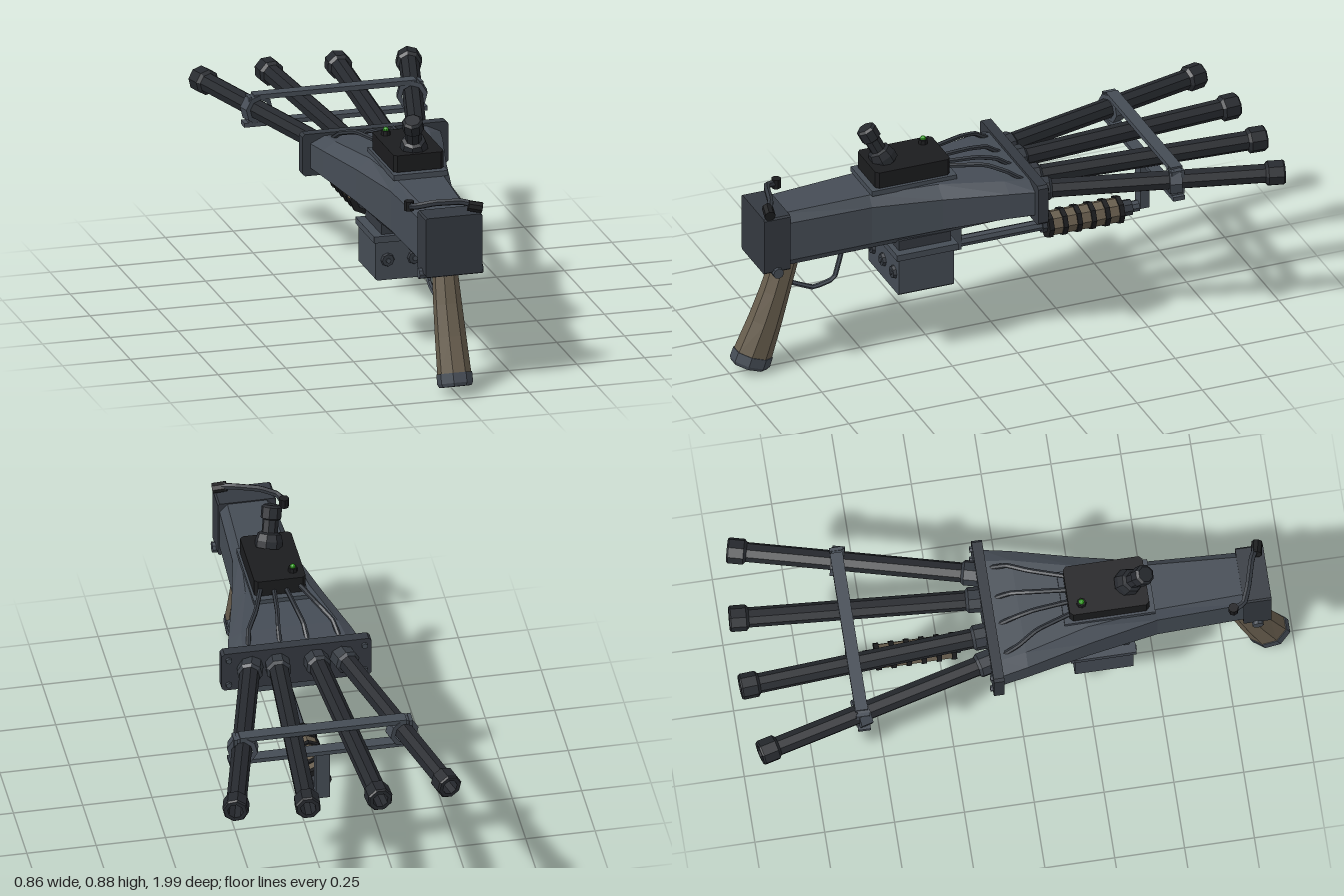
import * as THREE from 'three';

const V = (x, y, z) => new THREE.Vector3(x, y, z);
const material = (color, side = THREE.FrontSide) =>
  new THREE.MeshStandardMaterial({ color, side, flatShading: true });

// Faceted skin through rings of points, closed at both ends.
// Rings run counter-clockwise about the direction of travel.
function loft(rings) {
  const pos = [];
  const tri = (...pts) => pts.forEach((p) => pos.push(p.x, p.y, p.z));
  const n = rings[0].length;
  for (let r = 0; r < rings.length - 1; r++) {
    for (let i = 0; i < n; i++) {
      const j = (i + 1) % n, a = rings[r], b = rings[r + 1];
      tri(a[i], a[j], b[j]);
      tri(a[i], b[j], b[i]);
    }
  }
  const first = rings[0], last = rings[rings.length - 1];
  for (let i = 1; i < n - 1; i++) {
    tri(first[0], first[i + 1], first[i]);
    tri(last[0], last[i], last[i + 1]);
  }
  const geo = new THREE.BufferGeometry();
  geo.setAttribute('position', new THREE.Float32BufferAttribute(pos, 3));
  geo.computeVertexNormals();
  return geo;
}

// Box with chamfered corners in xy, extruded along z and centred.
function chamferBox(w, h, d, c) {
  const x = w / 2, y = h / 2;
  const shape = new THREE.Shape([
    [-x + c, -y], [x - c, -y], [x, -y + c], [x, y - c],
    [x - c, y], [-x + c, y], [-x, y - c], [-x, -y + c],
  ].map(([a, b]) => new THREE.Vector2(a, b)));
  return new THREE.ExtrudeGeometry(shape, { depth: d, bevelEnabled: false }).translate(0, 0, -d / 2);
}

const lathe = (profile, sides = 8) => new THREE.LatheGeometry(
  profile.map(([r, y]) => new THREE.Vector2(r, y)), sides, Math.PI / sides);

export function createModel() {
  const group = new THREE.Group();
  const steel = material(0x454c55), darkSteel = material(0x343940), gunmetal = material(0x26292e);
  const black = material(0x1b1c1e), wood = material(0x675d4d), green = material(0x2f9a1e);

  const add = (name, geo, mat, x = 0, y = 0, z = 0) => {
    const mesh = new THREE.Mesh(geo, mat);
    mesh.name = name;
    mesh.position.set(x, y, z);
    group.add(mesh);
    return mesh;
  };
  const box = (name, mat, [x0, x1], [y0, y1], [z0, z1]) => add(name,
    new THREE.BoxGeometry(x1 - x0, y1 - y0, z1 - z0), mat, (x0 + x1) / 2, (y0 + y1) / 2, (z0 + z1) / 2);
  const along = (mesh, dir) => mesh.quaternion.setFromUnitVectors(V(0, 1, 0), dir.clone().normalize());
  // Piping with straight segments
  const pipe = (name, mat, r, pts) => {
    const path = new THREE.CurvePath();
    for (let i = 0; i < pts.length - 1; i++) path.add(new THREE.LineCurve3(pts[i], pts[i + 1]));
    const curve = new THREE.CatmullRomCurve3(pts, false, 'catmullrom', 0.15);
    return add(name, new THREE.TubeGeometry(curve, (pts.length - 1) * 4, r, 6), mat);
  };

  // Receiver: octagonal sections widening toward the barrels
  // z, top half width, top y, side half width, upper y, lower y, bottom half width, bottom y
  add('receiver', loft([
    [-0.08, 0.19, 0.655, 0.242, 0.63, 0.54, 0.2, 0.515],
    [0.02, 0.175, 0.662, 0.222, 0.632, 0.535, 0.16, 0.5],
    [0.25, 0.115, 0.668, 0.165, 0.63, 0.51, 0.105, 0.462],
    [0.5, 0.085, 0.662, 0.112, 0.625, 0.48, 0.08, 0.445],
    [0.83, 0.07, 0.65, 0.098, 0.62, 0.47, 0.07, 0.437],
  ].map(([z, tw, ty, w, uy, ly, bw, by]) => [
    V(-bw, by, z), V(bw, by, z), V(w, ly, z), V(w, uy, z),
    V(tw, ty, z), V(-tw, ty, z), V(-w, uy, z), V(-w, ly, z),
  ])), steel);

  // Rear block and cross pin
  add('rearBlock', chamferBox(0.21, 0.22, 0.1, 0.006), darkSteel, 0, 0.545, 0.86);
  add('crossPin', new THREE.CylinderGeometry(0.02, 0.02, 0.235, 8), steel, 0, 0.436, 0.86).rotation.z = Math.PI / 2;

  // Latch lever across the rear block
  pipe('latchLever', darkSteel, 0.012, [
    V(0.09, 0.68, 0.885), V(0.04, 0.69, 0.86), V(-0.05, 0.685, 0.835), V(-0.11, 0.67, 0.81), V(-0.125, 0.66, 0.77)]);
  along(add('latchKnob', new THREE.CylinderGeometry(0.02, 0.02, 0.05, 8), black, 0.085, 0.675, 0.885), V(1, -0.2, 0.2));
  add('latchTip', new THREE.CylinderGeometry(0.018, 0.018, 0.035, 8), black, -0.125, 0.662, 0.77);

  // Pistol grip: octagonal, leaning backward, with an end cap
  const axis = V(0, -0.94, 0.34).normalize(), across = V(0, -axis.z * -1, -axis.y);
  const gripRing = ([y, z, hw, hd]) => Array.from({ length: 8 }, (_, i) => {
    const a = (i + 0.5) * Math.PI / 4, k = 1 / Math.cos(Math.PI / 8);
    return V(Math.cos(a) * hw * k, y, z).addScaledVector(across, Math.sin(a) * hd * k);
  });
  add('grip', loft([
    [0.43, 0.788, 0.041, 0.047], [0.3, 0.828, 0.047, 0.051], [0.19, 0.865, 0.051, 0.058], [0.07, 0.91, 0.055, 0.067],
  ].map(gripRing)), wood);
  add('gripCap', loft([
    [0.07, 0.91, 0.058, 0.07], [0.036, 0.922, 0.058, 0.071], [0.024, 0.926, 0.052, 0.064],
  ].map(gripRing)), steel);

  // Trigger guard
  pipe('triggerGuard', steel, 0.009, [
    V(0, 0.325, 0.77), V(0, 0.285, 0.68), V(0, 0.305, 0.6), V(0, 0.405, 0.572)]);

  // Ammunition box with lid, neck and three round studs
  add('ammoBox', chamferBox(0.284, 0.15, 0.21, 0.006), steel, 0, 0.34, 0.305);
  box('ammoLid', steel, [-0.15, 0.15], [0.408, 0.432], [0.185, 0.42]);
  box('ammoNeck', darkSteel, [-0.117, 0.117], [0.43, 0.47], [0.2, 0.4]);
  for (const x of [-0.098, 0, 0.098]) {
    add('ammoStud', new THREE.CylinderGeometry(0.022, 0.027, 0.016, 8), darkSteel, x, 0.34, 0.413).rotation.x = Math.PI / 2;
    add('ammoStudCentre', new THREE.CylinderGeometry(0.009, 0.009, 0.01, 8), steel, x, 0.34, 0.422).rotation.x = Math.PI / 2;
  }

  // Barrel flange with bolts
  add('barrelFlange', chamferBox(0.54, 0.156, 0.038, 0.01), darkSteel, 0, 0.588, -0.09);
  for (const x of [-0.245, 0.245]) for (const y of [0.535, 0.64])
    add('flangeBolt', new THREE.CylinderGeometry(0.011, 0.011, 0.012, 6), steel, x, y, -0.113).rotation.x = Math.PI / 2;

  // Four fanned barrels with collars and hollow muzzles
  for (const s of [-1, 1]) for (const [x0, x1, z1] of [[0.068, 0.13, -0.997], [0.162, 0.387, -0.965]]) {
    const start = V(s * x0, 0.6, -0.09), dir = V(s * x1, 0.6, z1).sub(start), L = dir.length();
    along(add('barrel', lathe([
      [0, 0], [0.036, 0], [0.036, L - 0.07], [0.047, L - 0.06], [0.047, L - 0.006],
      [0.042, L], [0.028, L], [0.028, L - 0.08], [0, L - 0.08],
    ]), gunmetal, ...start.toArray()), dir);
    along(add('barrelCollar', lathe([[0, 0], [0.046, 0], [0.046, 0.06], [0.036, 0.07]]), darkSteel,
      ...start.toArray()), dir);
  }

  // Barrel brace: bars above and below, and a clamp round each outer barrel
  box('upperBrace', steel, [-0.3, 0.3], [0.638, 0.656], [-0.61, -0.565]);
  box('lowerBrace', steel, [-0.338, 0.338], [0.54, 0.556], [-0.605, -0.56]);
  for (const s of [-1, 1]) {
    const clamp = add('barrelClamp', lathe([
      [0.037, -0.022], [0.055, -0.022], [0.055, 0.022], [0.037, 0.022]]), steel, s * 0.287, 0.6, -0.585);
    along(clamp, V(s * 0.225, 0, -0.875));
    box('braceEnd', steel, s > 0 ? [0.3, 0.332] : [-0.332, -0.3], [0.556, 0.65], [-0.62, -0.55]).scale.set(0.4, 1, 0.7);
  }

  // Foregrip: rod, hangers, ribbed wooden sleeve
  box('foregripRearHanger', steel, [-0.022, 0.022], [0.33, 0.5], [0.12, 0.163]);
  box('foregripFrontHanger', steel, [-0.025, 0.025], [0.35, 0.545], [-0.597, -0.563]);
  const rod = (name, r, mat, z0, z1) => {
    add(name, new THREE.CylinderGeometry(r, r, z1 - z0, 8), mat, 0, 0.352, (z0 + z1) / 2).rotation.x = Math.PI / 2;
  };
  rod('foregripRod', 0.021, steel, -0.565, 0.163);
  rod('foregripSleeve', 0.046, wood, -0.49, -0.215);
  for (let i = 0; i < 6; i++) rod('foregripRib', 0.052, black, -0.495 + i * 0.054, -0.477 + i * 0.054);
  rod('foregripCollar', 0.03, darkSteel, -0.535, -0.49);
  rod('foregripCollar', 0.03, darkSteel, -0.215, -0.19);

  // Control box on a mounting plate
  box('mountPlate', steel, [-0.1, 0.1], [0.662, 0.682], [0.17, 0.495]);
  add('controlBox', chamferBox(0.185, 0.285, 0.062, 0.012).rotateX(-Math.PI / 2), black, 0, 0.716, 0.333);
  add('indicatorBase', new THREE.CylinderGeometry(0.016, 0.018, 0.018, 8), black, -0.053, 0.754, 0.237);
  add('indicatorLight', new THREE.SphereGeometry(0.011, 8, 6), green, -0.053, 0.765, 0.237);

  // Control stick leaning backward and to the side
  along(add('controlStick', lathe([
    [0, 0], [0.05, 0], [0.05, 0.025], [0.042, 0.05], [0.029, 0.055], [0.029, 0.1],
    [0.037, 0.105], [0.037, 0.145], [0.028, 0.153], [0, 0.153],
  ]), gunmetal, 0.002, 0.738, 0.405), V(-0.026, 0.135, 0.066));

  // Cables from the control box to the flange
  for (const s of [-1, 1]) for (const [x0, x1, y] of [[0.022, 0.05, 0.7], [0.07, 0.165, 0.71]])
    pipe('cable', darkSteel, 0.009, [
      V(s * x0, y, 0.2), V(s * (x0 + (x1 - x0) * 0.45), y - 0.002, 0.07),
      V(s * (x0 + (x1 - x0) * 0.85), 0.685, 0), V(s * x1, 0.645, -0.06)]);

  return group;
}
